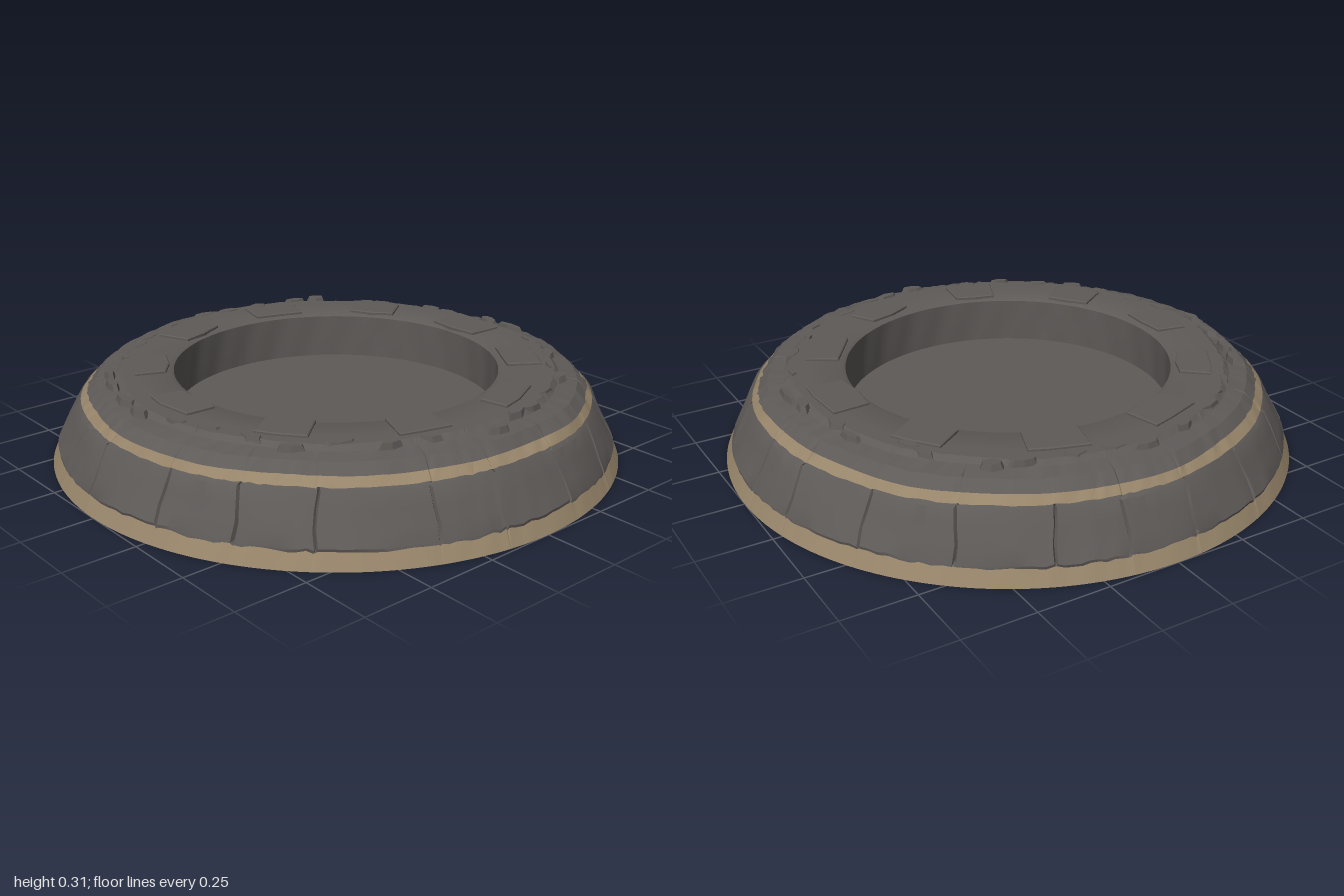
import * as THREE from 'three';
import { toCreasedNormals } from 'three/addons/utils/BufferGeometryUtils.js';

const TAU = Math.PI * 2;

export function createModel() {
  const group = new THREE.Group();
  const stone = new THREE.MeshStandardMaterial({ color: 0x5e5a58 });
  const sand = new THREE.MeshStandardMaterial({ color: 0x97856a });
  stone.name = 'darkStone';
  sand.name = 'sandEdge';

  let seed = 11;
  const rand = () => (seed = (seed * 16807) % 2147483647) / 2147483647;
  const vary = (amount) => (rand() * 2 - 1) * amount;

  function add(name, geometry, material) {
    const mesh = new THREE.Mesh(geometry, material);
    mesh.name = name;
    group.add(mesh);
    return mesh;
  }

  // Angles round the base, with three close samples at each masonry joint
  const jointCount = 22, perStone = 9, half = 0.006;
  const joints = Array.from({ length: jointCount }, (_, i) => (i + vary(0.2)) * TAU / jointCount);
  const samples = [];
  joints.forEach((j, i) => {
    const next = i + 1 < jointCount ? joints[i + 1] : joints[0] + TAU;
    samples.push({ a: j - half }, { a: j, joint: true }, { a: j + half });
    for (let k = 1; k < perStone; k++) samples.push({ a: j + (next - j) * k / perStone });
  });
  samples.forEach((s) => { s.low = vary(1); s.high = vary(1); s.top = vary(1); });

  // Broad irregularity shared by neighbouring rings
  const wave = (a) => 0.5 * Math.sin(3 * a + 1) + 0.3 * Math.sin(7 * a) + 0.2 * Math.sin(13 * a + 2);

  // Surface swept round the axis; every ring maps a sample to [radius, height, twist]
  function sweep(name, rings, material, crease = 0.5) {
    const positions = [], index = [], n = samples.length;
    for (const ring of rings) {
      for (const s of samples) {
        const [r, y, twist = 0] = ring(s);
        positions.push(Math.sin(s.a + twist) * r, y, Math.cos(s.a + twist) * r);
      }
    }
    for (let k = 0; k < rings.length - 1; k++) {
      for (let i = 0; i < n; i++) {
        const j = (i + 1) % n;
        const a = k * n + i, b = k * n + j, c = b + n, d = a + n;
        index.push(a, b, c, a, c, d);
      }
    }
    const geometry = new THREE.BufferGeometry();
    geometry.setAttribute('position', new THREE.Float32BufferAttribute(positions, 3));
    geometry.setIndex(index);
    return add(name, toCreasedNormals(geometry, crease), material);
  }

  // Boundaries between the coloured bands
  const foot = () => [1, 0];
  const wallLow = (s) => [0.976, 0.052 + 0.005 * s.low];
  const wallHigh = (s) => [0.892 + 0.007 * wave(s.a), 0.217 + 0.003 * s.high];
  const shoulder = (s) => [0.868 + 0.015 * wave(s.a) + 0.004 * s.top, 0.243 + 0.003 * s.top];

  sweep('footBand', [foot, wallLow], sand);

  // Sloping masonry wall with narrow recessed joints
  const wallRing = (t) => (s) => {
    const lo = wallLow(s), hi = wallHigh(s);
    const inside = t > 0 && t < 1;
    const bulge = inside ? 0.005 + 0.003 * Math.sin(9 * s.a + 4 * t) : 0;
    const r = lo[0] + (hi[0] - lo[0]) * t + bulge - (inside && s.joint ? 0.014 : 0);
    return [r, lo[1] + (hi[1] - lo[1]) * t, inside ? 0.006 * Math.sin(5 * t + 11 * s.a) : 0];
  };
  sweep('masonryWall', [0, 0.06, 0.35, 0.65, 0.94, 1].map(wallRing), stone);

  sweep('shoulderBand', [wallHigh, shoulder], sand);

  // Worn crown rising to a ragged ledge, then level to the opening
  sweep('crown', [
    shoulder,
    (s) => [0.835 + 0.012 * wave(s.a), 0.275 + 0.003 * s.high],
    (s) => [0.775 + 0.012 * wave(s.a + 2), 0.284],
    (s) => [0.757 + 0.014 * wave(s.a + 2) + 0.004 * s.low, 0.3],
    () => [0.7, 0.3],
    () => [0.585, 0.298],
    () => [0.57, 0.29],
  ], stone);

  // Recessed basin
  sweep('basinWall', [
    () => [0.57, 0.29],
    (s) => [0.57 + 0.003 * Math.sin(26 * s.a), 0.21],
    () => [0.57, 0.13],
  ], stone);
  const floor = add('basinFloor', new THREE.CircleGeometry(0.575, 96), stone);
  floor.rotation.x = -Math.PI / 2;
  floor.position.y = 0.13;

  const underside = add('underside', new THREE.CircleGeometry(1, 128), stone);
  underside.rotation.x = Math.PI / 2;

  // Ten slightly raised, uneven paving slabs round the opening
  for (let i = 0; i < 10; i++) {
    const a = i * TAU / 10;
    const w = 0.095 + vary(0.012), d = 0.055 + vary(0.008);
    const shape = new THREE.Shape([
      [-w * 0.9, -d], [0, -d - 0.006], [w * 0.9, -d],
      [w, d], [w * 0.3, d + 0.008], [-w, d],
    ].map(([x, y]) => new THREE.Vector2(x + vary(0.008), y + vary(0.006))));
    const geometry = new THREE.ExtrudeGeometry(shape, {
      depth: 0.014, bevelEnabled: true, bevelSize: 0.004, bevelThickness: 0.003, bevelSegments: 1,
    });
    geometry.rotateX(-Math.PI / 2);
    const slab = add('pavingSlab', geometry, stone);
    slab.position.set(Math.sin(a) * 0.65, 0.292, Math.cos(a) * 0.65);
    // The shape's far edge faces outward
    slab.rotation.y = a + Math.PI + vary(0.05);
  }

  // Broken stone chips along the ledge
  const chipCount = 34;
  for (let i = 0; i < chipCount; i++) {
    const a = (i + vary(0.35)) * TAU / chipCount;
    const r = 0.765 + vary(0.03);
    const geometry = new THREE.CylinderGeometry(0.75, 1, 1, 5 + (i % 3)).toNonIndexed();
    geometry.computeVertexNormals();
    const chip = add('ledgeChip', geometry, stone);
    chip.scale.set(0.04 + rand() * 0.03, 0.022, 0.014 + rand() * 0.014);
    chip.position.set(Math.sin(a) * r, 0.294 + vary(0.004), Math.cos(a) * r);
    chip.rotation.y = a + vary(0.35);
  }

  return group;
}
